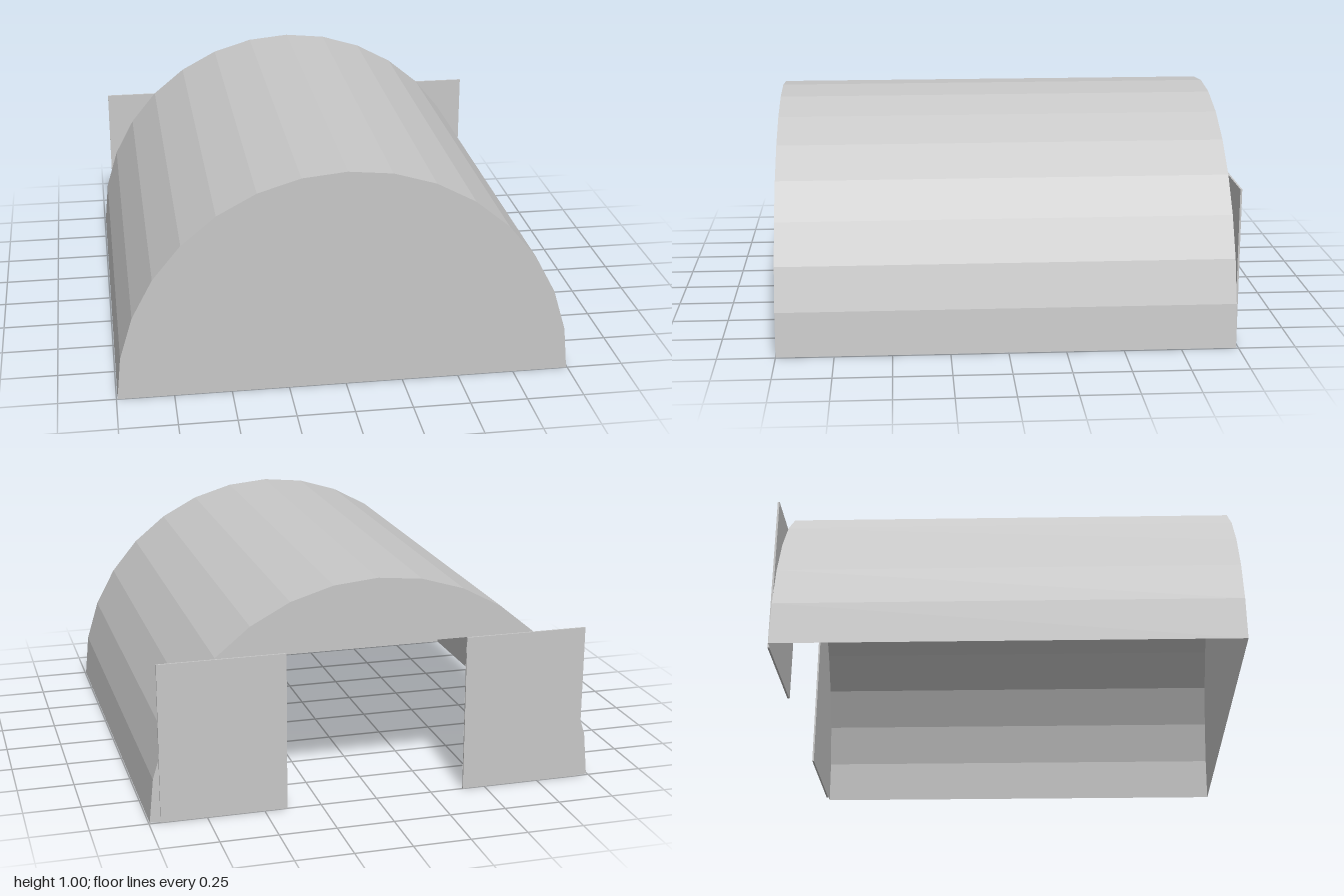
import * as THREE from 'three';

const RADIUS = 0.995, SIDES = 16, FRONT = 1, BACK = -0.99;
const DOOR_HALF = 0.4, DOOR_TOP = 0.7;

// Half-round outline, from the +x foot over the top to the -x foot
function archPoints() {
  const points = [];
  for (let i = 0; i <= SIDES; i++) {
    const a = (Math.PI * i) / SIDES;
    points.push(new THREE.Vector2(RADIUS * Math.cos(a), RADIUS * Math.sin(a)));
  }
  return points;
}

export function createModel() {
  const group = new THREE.Group();
  group.name = 'hangar';
  const grey = new THREE.MeshStandardMaterial({ color: 0xc8c8c8, side: THREE.DoubleSide, flatShading: true });
  grey.name = 'light grey';

  const add = (name, geometry, x, y, z) => {
    const mesh = new THREE.Mesh(geometry, grey);
    mesh.name = name;
    mesh.position.set(x, y, z);
    group.add(mesh);
  };

  // Arched roof, a thin open half cylinder
  const roof = new THREE.CylinderGeometry(RADIUS, RADIUS, FRONT - BACK, SIDES, 1, true, Math.PI / 2, Math.PI);
  roof.rotateX(Math.PI / 2);
  add('archedRoof', roof, 0, 0, (FRONT + BACK) / 2);

  // Closed end wall
  add('closedWall', new THREE.ShapeGeometry(new THREE.Shape(archPoints())), 0, 0, FRONT);

  // End wall with the doorway cut up from the ground
  const doorway = [[-DOOR_HALF, 0], [-DOOR_HALF, DOOR_TOP], [DOOR_HALF, DOOR_TOP], [DOOR_HALF, 0]]
    .map(([x, y]) => new THREE.Vector2(x, y));
  add('doorwayWall', new THREE.ShapeGeometry(new THREE.Shape([...archPoints(), ...doorway])), 0, 0, BACK);

  // Sliding doors, pushed open to both sides
  for (const side of [1, -1]) {
    add(side > 0 ? 'leftDoor' : 'rightDoor', new THREE.BoxGeometry(0.55, DOOR_TOP, 0.008), side * 0.675, DOOR_TOP / 2, -0.996);
  }

  return group;
}
